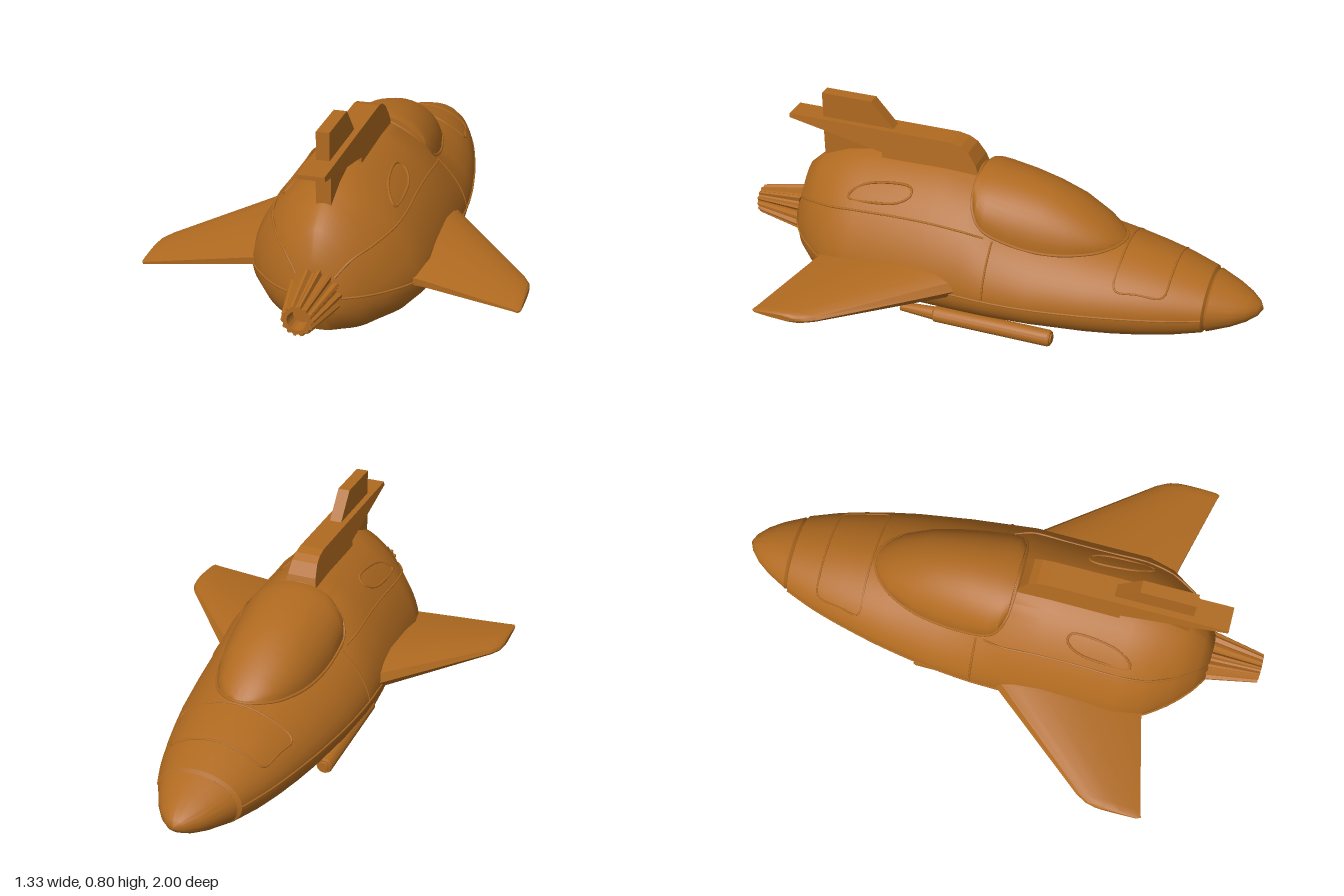
import * as THREE from 'three';
import { toCreasedNormals } from 'three/addons/utils/BufferGeometryUtils.js';

const mat = new THREE.MeshStandardMaterial({ color: 0xb06a20 });
const V = (x, y, z) => new THREE.Vector3(x, y, z);

// Hull stations: z, half width, top, bottom, height of widest point
const HULL = [
  [-1, 0.004, 0.229, 0.221, 0.225], [-0.985, 0.035, 0.25, 0.2, 0.225],
  [-0.95, 0.072, 0.272, 0.176, 0.225], [-0.9, 0.107, 0.295, 0.153, 0.225],
  [-0.823, 0.147, 0.325, 0.126, 0.225], [-0.815, 0.14, 0.318, 0.133, 0.225],
  [-0.807, 0.157, 0.332, 0.121, 0.225], [-0.7, 0.198, 0.365, 0.098, 0.225],
  [-0.6, 0.228, 0.388, 0.083, 0.225], [-0.5, 0.253, 0.408, 0.073, 0.225],
  [-0.4, 0.275, 0.425, 0.068, 0.225], [-0.2, 0.307, 0.46, 0.065, 0.225],
  [-0.04, 0.322, 0.52, 0.064, 0.23], [0.06, 0.325, 0.605, 0.063, 0.235],
  [0.2, 0.323, 0.61, 0.063, 0.235], [0.5, 0.32, 0.605, 0.064, 0.24],
  [0.6, 0.292, 0.585, 0.068, 0.245], [0.7, 0.222, 0.545, 0.08, 0.25],
  [0.77, 0.15, 0.48, 0.11, 0.255], [0.81, 0.09, 0.36, 0.18, 0.26],
];

// Interpolated row of a station table
function at(table, z) {
  let i = 0;
  while (i < table.length - 2 && table[i + 1][0] < z) i++;
  const a = table[i], b = table[i + 1];
  const t = THREE.MathUtils.clamp((z - a[0]) / (b[0] - a[0]), 0, 1);
  return a.map((v, k) => v + (b[k] - v) * t);
}
// Roundness of the upper hull, softer at the nose than at the tail
const power = z => THREE.MathUtils.clamp(1.6 - 0.45 * z, 1.6, 2);

// Points on the upper hull, found from x or from y
function onTop(x, z) {
  const [, w, top, , mid] = at(HULL, z), n = power(z);
  const r = Math.min(1, Math.abs(x) / w);
  return V(x, mid + (top - mid) * (1 - r ** n) ** (1 / n), z);
}
function onSide(y, z) {
  const [, w, top, , mid] = at(HULL, z), n = power(z);
  const r = THREE.MathUtils.clamp((y - mid) / (top - mid), 0, 1);
  return V(w * (1 - r ** n) ** (1 / n), y, z);
}

// Skin over closed rings, with fan caps at both ends
function loft(rings, crease = 0.6) {
  const m = rings[0].length, pos = [], idx = [];
  rings.forEach(r => r.forEach(p => pos.push(p.x, p.y, p.z)));
  for (let i = 0; i < rings.length - 1; i++)
    for (let j = 0; j < m; j++) {
      const k = (j + 1) % m, a = i * m + j, b = i * m + k;
      idx.push(a, b, b + m, a, b + m, a + m);
    }
  [0, rings.length - 1].forEach((i, end) => {
    const c = rings[i].reduce((s, p) => s.add(p), V(0, 0, 0)).divideScalar(m);
    const ci = pos.push(c.x, c.y, c.z) / 3 - 1;
    for (let j = 0; j < m; j++) {
      const a = i * m + j, b = i * m + (j + 1) % m;
      idx.push(ci, end ? a : b, end ? b : a);
    }
  });
  const g = new THREE.BufferGeometry();
  g.setAttribute('position', new THREE.Float32BufferAttribute(pos, 3));
  g.setIndex(idx);
  return toCreasedNormals(g, crease);
}

// Side outline [z, y] extruded across x, centred on x = 0
function slab(points, half, bevel = 0) {
  const s = new THREE.Shape(points.map(([z, y]) => new THREE.Vector2(-z, y)));
  const g = new THREE.ExtrudeGeometry(s, {
    depth: 2 * (half - bevel), bevelEnabled: bevel > 0, bevelSize: bevel,
    bevelThickness: bevel, bevelOffset: -bevel, bevelSegments: 4,
  });
  return g.translate(0, 0, bevel - half).rotateY(Math.PI / 2);
}

export function createModel() {
  const model = new THREE.Group();
  const add = (name, geo, mirrored = false) => {
    const mesh = new THREE.Mesh(geo, mat);
    mesh.name = name;
    if (mirrored) mesh.scale.x = -1;
    model.add(mesh);
  };
  const pair = (name, geo) => {
    add('left' + name, geo);
    add('right' + name, geo, true);
  };
  const seam = (pts, closed = false, r = 0.004) => new THREE.TubeGeometry(
    new THREE.CatmullRomCurve3(pts, closed, 'centripetal'), pts.length * 6, r, 6, closed);

  // Hull
  const SIDES = 64;
  add('hull', loft(HULL.map(([z, w, top, bot, mid]) =>
    Array.from({ length: SIDES }, (_, j) => {
      const a = j / SIDES * Math.PI * 2, c = Math.cos(a), s = Math.sin(a);
      const e = 2 / (s >= 0 ? power(z) : 2.2);
      return V(w * Math.sign(c) * Math.abs(c) ** e,
        mid + (s >= 0 ? top - mid : mid - bot) * Math.sign(s) * Math.abs(s) ** e, z);
    }))));

  // Canopy: z, half width, top
  const CANOPY = [
    [-0.483, 0.02, 0.412], [-0.465, 0.06, 0.43], [-0.44, 0.09, 0.452], [-0.4, 0.122, 0.482],
    [-0.3, 0.165, 0.54], [-0.2, 0.186, 0.576], [-0.1, 0.198, 0.599], [0, 0.2, 0.611],
    [0.035, 0.185, 0.613], [0.06, 0.14, 0.61],
  ];
  add('canopy', loft(CANOPY.map(([z, w, top]) => {
    const e = onTop(w, z).y - 0.004;
    return Array.from({ length: 25 }, (_, j) => {
      const a = j / 24 * Math.PI;
      return V(w * Math.cos(a), e + (top - e) * Math.sin(a), z);
    });
  })));
  const rim = CANOPY.map(([z, w]) => onTop(w, z));
  add('canopyRim', seam([...rim, onTop(0, 0.068),
    ...rim.map(p => V(-p.x, p.y, p.z)).reverse()], true, 0.006));

  // Panel seams
  const screen = [[0, -0.68], [0.1, -0.68], [0.165, -0.675], [0.178, -0.66], [0.195, -0.58],
    [0.21, -0.51], [0.2, -0.497], [0.1, -0.497], [0, -0.497]].map(([x, z]) => onTop(x, z));
  add('windscreenFrame', seam([...screen,
    ...screen.slice(1, -1).map(p => V(-p.x, p.y, p.z)).reverse()], true));
  pair('ShoulderSeam', seam([[0.43, -0.01], [0.45, 0.06], [0.456, 0.2], [0.455, 0.35],
    [0.45, 0.5], [0.435, 0.6], [0.41, 0.7], [0.38, 0.77], [0.33, 0.805]]
    .map(([y, z]) => onSide(y, z))));
  pair('FrontSeam', seam([0.235, 0.28, 0.33, 0.38, 0.42].map(y => onSide(y, -0.04))));
  pair('BeltSeam', seam(HULL.slice(6).map(r => V(r[1], r[4], r[0]))));
  pair('SideVent', seam([[0.48, 0.53], [0.5, 0.52], [0.53, 0.46], [0.54, 0.3], [0.52, 0.29],
    [0.495, 0.33], [0.482, 0.42]].map(([y, z]) => onSide(y, z)), true, 0.005));

  // Wings: x, leading z, trailing z, centre height, half thickness
  const airfoil = [[0, 0], [0.05, 0.5], [0.15, 0.8], [0.32, 1], [0.6, 0.85], [0.85, 0.5], [1, 0.2]];
  const wingRings = [[0.22, -0.06, 0.6, 0.25, 0.07], [0.32, 0.06, 0.62, 0.25, 0.06],
    [0.635, 0.455, 0.695, 0.236, 0.02], [0.657, 0.495, 0.702, 0.235, 0.017],
    [0.665, 0.53, 0.69, 0.235, 0.01]]
    .map(([x, z0, z1, y, h]) => [
      ...airfoil.map(([t, k]) => V(x, y + h * k, z0 + (z1 - z0) * t)),
      ...airfoil.slice(1).reverse().map(([t, k]) => V(x, y - h * k, z0 + (z1 - z0) * t)),
    ]);
  pair('Wing', loft(wingRings, 0.5));

  // Dorsal spine, wider towards its base
  const spine = slab([[0.06, 0.57], [0.08, 0.625], [0.11, 0.67], [0.14, 0.688], [0.18, 0.697],
    [0.83, 0.697], [0.83, 0.682], [0.45, 0.61], [0.45, 0.57]], 1);
  const p = spine.attributes.position;
  for (let i = 0; i < p.count; i++)
    p.setX(i, p.getX(i) * THREE.MathUtils.mapLinear(p.getY(i), 0.57, 0.697, 0.062, 0.046));
  spine.computeVertexNormals();
  add('dorsalSpine', spine);
  add('finPost', slab([[0.4, 0.56], [0.4, 0.65], [0.7, 0.67], [0.7, 0.5], [0.6, 0.5]], 0.026));
  add('tailFin', slab([[0.41, 0.69], [0.5, 0.795], [0.7, 0.795], [0.7, 0.69]], 0.023));

  // Ribbed engine nozzle
  const RIBS = 14;
  const nozzleRing = (z, r, depth) => Array.from({ length: RIBS * 4 }, (_, j) => {
    const a = j / (RIBS * 4) * Math.PI * 2, q = j % 4 < 2 ? r : r * depth;
    return V(q * Math.cos(a), 0.265 + q * Math.sin(a), z);
  });
  add('engineNozzle', loft([nozzleRing(0.78, 0.096, 0.84), nozzleRing(0.81, 0.092, 0.84),
    nozzleRing(0.99, 0.057, 0.84), nozzleRing(1, 0.054, 0.88),
    nozzleRing(1, 0.034, 1), nozzleRing(0.95, 0.03, 1)], 0.3));

  // Under-wing tubes: radius along z
  const tube = new THREE.LatheGeometry([[0, -0.285], [0.018, -0.285], [0.02, -0.28],
    [0.027, -0.28], [0.031, -0.272], [0.031, 0.172], [0.025, 0.18], [0.017, 0.312], [0, 0.315]]
    .map(([r, z]) => new THREE.Vector2(r, z)), 20);
  pair('UnderwingTube', toCreasedNormals(tube.rotateX(Math.PI / 2).translate(0.238, 0.071, 0), 0.5));

  // Belly pod
  add('bellyPod', toCreasedNormals(slab([[-0.29, 0.1], [-0.31, 0.055], [-0.34, 0.025],
    [-0.38, 0.007], [-0.43, 0], [-0.5, 0.007], [-0.54, 0.028], [-0.565, 0.06], [-0.58, 0.11]],
    0.042, 0.02), 0.7));

  return model;
}
